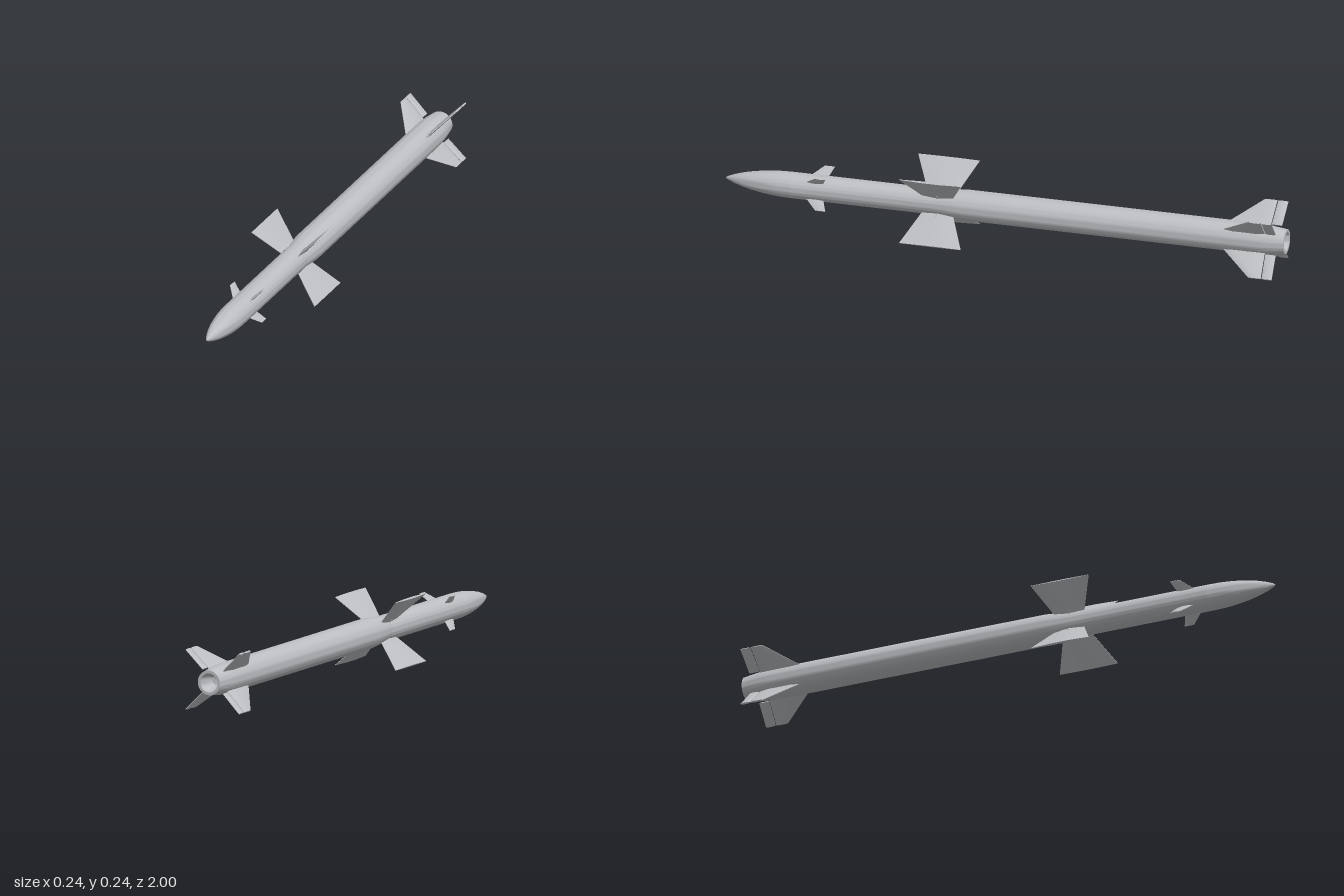
import * as THREE from 'three';
import { toCreasedNormals } from 'three/addons/utils/BufferGeometryUtils.js';

const AXIS_Y = 0.122;

// Body section turned around the z axis; profile is [radius, z] from back to front
function turned(name, profile, material) {
  const points = profile.map(([r, z]) => new THREE.Vector2(r, z));
  const geometry = new THREE.LatheGeometry(points, 48).rotateX(Math.PI / 2);
  const mesh = new THREE.Mesh(toCreasedNormals(geometry, 0.5), material);
  mesh.name = name;
  return mesh;
}

// Fin lofted outwards along x; each section is [radius, front z, back z, thickness]
function finGeometry(sections, bevel = 0.35) {
  const rings = sections.map(([r, front, back, t]) => {
    const inset = (front - back) * bevel;
    return [
      [r, 0.0008, front], [r, t / 2, front - inset], [r, t / 2, back + inset],
      [r, 0.0008, back], [r, -0.0008, back], [r, -t / 2, back + inset],
      [r, -t / 2, front - inset], [r, -0.0008, front],
    ];
  });
  const n = 8, positions = [];
  const tri = (a, b, c) => positions.push(...a, ...c, ...b);
  for (let s = 0; s < rings.length - 1; s++) {
    const inner = rings[s], outer = rings[s + 1];
    for (let i = 0; i < n; i++) {
      const j = (i + 1) % n;
      tri(inner[i], inner[j], outer[j]);
      tri(inner[i], outer[j], outer[i]);
    }
  }
  // Root and tip caps
  const root = rings[0], tip = rings[rings.length - 1];
  for (let i = 1; i < n - 1; i++) {
    tri(root[0], root[i + 1], root[i]);
    tri(tip[0], tip[i], tip[i + 1]);
  }
  const geometry = new THREE.BufferGeometry();
  geometry.setAttribute('position', new THREE.Float32BufferAttribute(positions, 3));
  return toCreasedNormals(geometry, 0.5);
}

export function createModel() {
  const model = new THREE.Group();
  model.name = 'missile';
  const grey = new THREE.MeshStandardMaterial({ color: 0xbcbec2 });
  grey.name = 'light grey';

  const axis = new THREE.Group();
  axis.name = 'airframe';
  axis.position.y = AXIS_Y;
  model.add(axis);

  // Body, from the tail to the nose
  axis.add(
    turned('nozzle', [[0, -0.94], [0.016, -0.945], [0.026, -0.965], [0.033, -1], [0.043, -1]], grey),
    turned('mainBody', [
      [0.043, -1], [0.0465, -0.972], [0.0505, -0.94], [0.053, -0.905], [0.0535, -0.87],
      [0.0535, 0.14], [0.0455, 0.24],
    ], grey),
    turned('forwardBody', [[0.0455, 0.24], [0.0455, 0.76]], grey),
    turned('noseCone', [
      [0.0455, 0.76], [0.0445, 0.80], [0.0425, 0.83], [0.0385, 0.865],
      [0.033, 0.90], [0.0255, 0.935], [0.016, 0.967], [0.006, 0.992], [0, 1],
    ], grey),
  );

  // Fin shapes, repeated four times in an X
  const parts = {
    noseFin: finGeometry([[0.038, 0.71, 0.645, 0.008], [0.06, 0.688, 0.637, 0.007], [0.084, 0.664, 0.628, 0.004]]),
    wing: finGeometry([[0.046, 0.292, 0.18, 0.01], [0.167, 0.348, 0.128, 0.007]]),
    tailFin: finGeometry([[0.04, -0.77, -0.932, 0.01], [0.147, -0.893, -0.937, 0.006]], 0.2),
    tailFlap: finGeometry([[0.056, -0.935, -0.972, 0.007], [0.147, -0.94, -0.976, 0.006]], 0.2),
  };
  for (let i = 0; i < 4; i++) {
    const set = new THREE.Group();
    set.name = `finSet${i + 1}`;
    set.rotation.z = Math.PI / 4 + (i * Math.PI) / 2;
    for (const [name, geometry] of Object.entries(parts)) {
      const mesh = new THREE.Mesh(geometry, grey);
      mesh.name = name;
      set.add(mesh);
    }
    // Pivot joining the wing to the body
    const pivot = new THREE.Mesh(new THREE.CylinderGeometry(0.006, 0.008, 0.024, 16), grey);
    pivot.name = 'wingPivot';
    pivot.rotation.z = -Math.PI / 2;
    pivot.position.set(0.048, 0, 0.235);
    set.add(pivot);
    axis.add(set);
  }
  return model;
}
